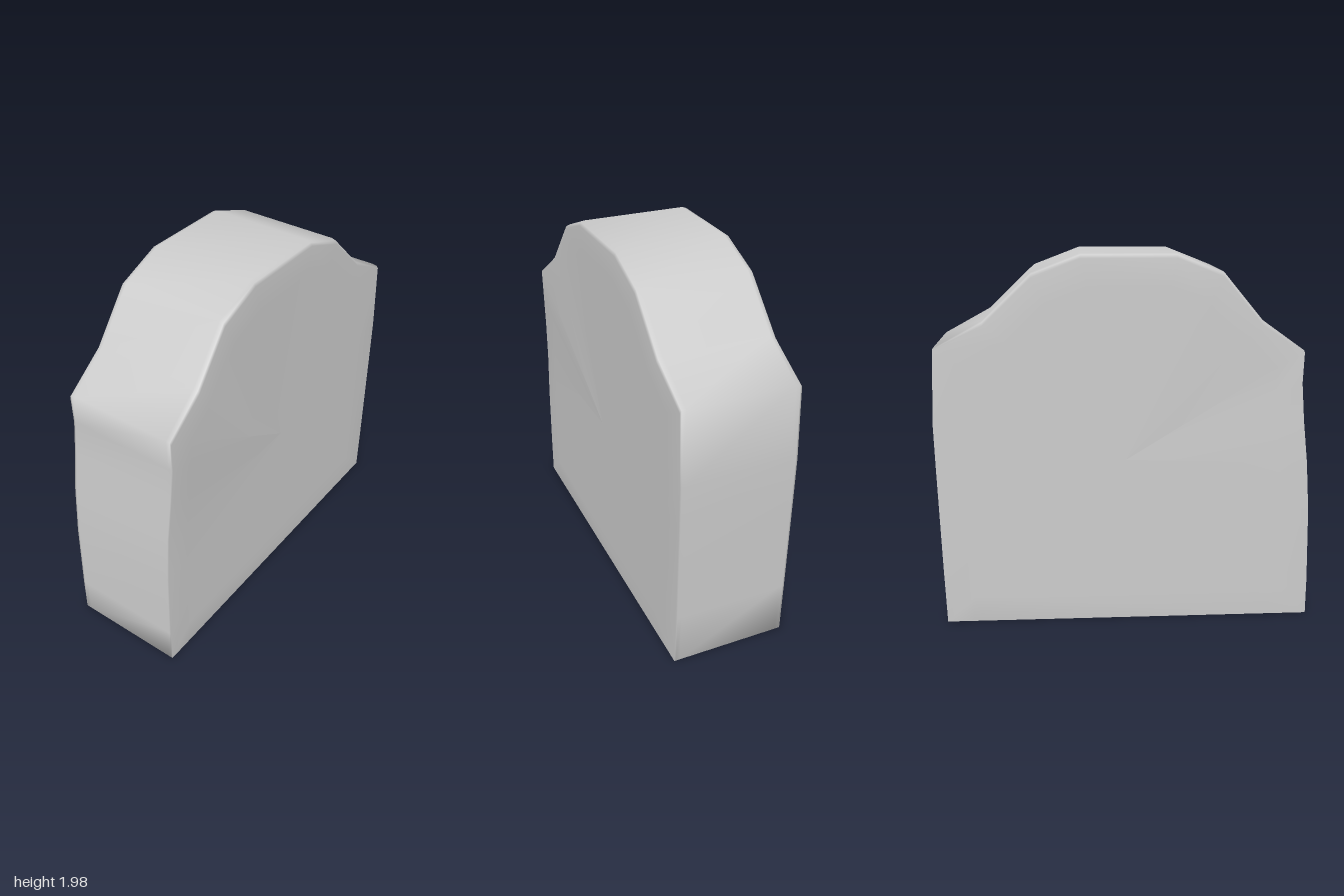
import * as THREE from 'three';

// Side outline as (z, y), from the front foot over the top to the back foot
const OUTLINE = [
  [1, 0], [1, 0.2], [0.99, 0.6], [0.97, 0.87], [0.945, 1.1], [0.93, 1.3], [0.935, 1.47],
  [0.71, 1.63], [0.5, 1.88], [0.26, 1.975], [-0.23, 1.975], [-0.48, 1.88], [-0.73, 1.64],
  [-0.985, 1.5], [-1, 1.1], [-0.995, 0.87], [-0.98, 0.3], [-0.97, 0], [-0.82, 0], [0.85, 0],
];

// Rings across the thickness: x, scale about the middle, bevel along the top
const HALF = [
  [0.311, 0, 0], [0.311, 0.85, 0], [0.311, 1, 0.025], [0.302, 1, 0.008], [0.28, 1, 0],
];
const RINGS = [...HALF, ...HALF.slice().reverse().map(([x, s, b]) => [-x, s, b])];
const MID_Y = 0.9;

// The front shoulder leans slightly towards +x
function lean(z, y) {
  const forward = THREE.MathUtils.smoothstep(z, 0.35, 0.9);
  const height = Math.max(0, 1 - Math.abs(y - 1.4) / 0.5);
  return -0.008 + 0.02 * forward * height;
}

function slabGeometry() {
  const positions = [];
  const indices = [];
  const n = OUTLINE.length;
  for (const [x, scale, bevel] of RINGS) {
    for (const [z, y] of OUTLINE) {
      const drop = bevel * THREE.MathUtils.smoothstep(y, 1.3, 1.65);
      const py = MID_Y + (y - MID_Y) * scale - drop;
      const pz = z * scale;
      positions.push(x + lean(pz, py), py, pz);
    }
  }
  for (let r = 0; r < RINGS.length - 1; r++) {
    for (let i = 0; i < n; i++) {
      const j = (i + 1) % n;
      const a = r * n + i, b = r * n + j, c = a + n, d = b + n;
      if (RINGS[r][1] > 0) indices.push(a, b, c);
      if (RINGS[r + 1][1] > 0) indices.push(b, d, c);
    }
  }
  const geometry = new THREE.BufferGeometry();
  geometry.setAttribute('position', new THREE.Float32BufferAttribute(positions, 3));
  geometry.setIndex(indices);
  geometry.computeVertexNormals();
  return geometry;
}

export function createModel() {
  const group = new THREE.Group();
  group.name = 'shoulderedStoneSlab';
  const material = new THREE.MeshStandardMaterial({ color: 0xcccccc });
  const slab = new THREE.Mesh(slabGeometry(), material);
  slab.name = 'slab';
  group.add(slab);
  return group;
}
